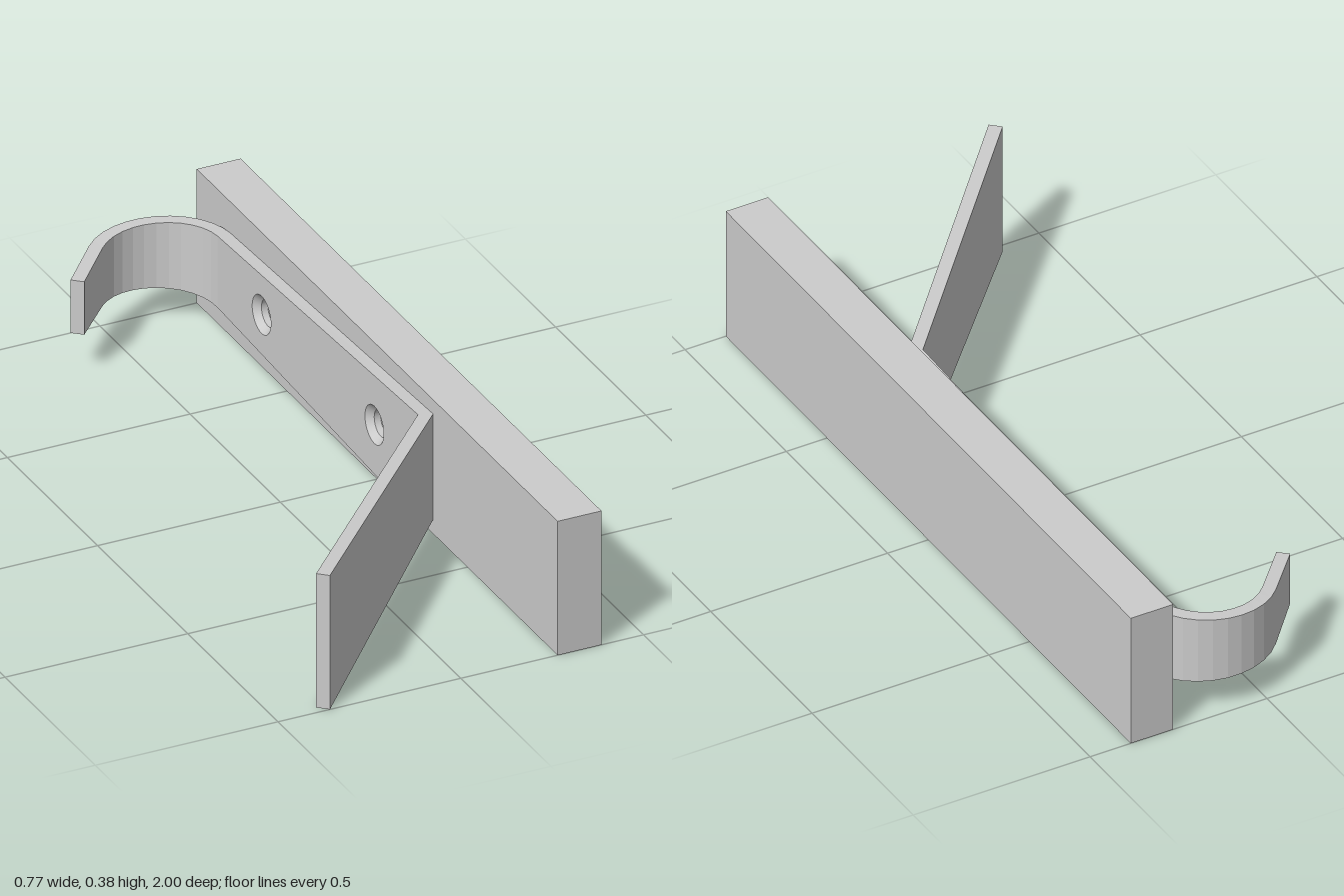
import * as THREE from 'three';

const T = 0.035;              // strap thickness
const MID = 0.1875;           // height of the centre line
const XO = 0.265, XI = XO - T; // strap faces along the board
const grey = new THREE.MeshStandardMaterial({ color: 0xcccccc, flatShading: true });
const open = new THREE.MeshStandardMaterial({ color: 0xcccccc, side: THREE.DoubleSide });

function add(group, name, geometry, material = grey) {
  const mesh = new THREE.Mesh(geometry, material);
  mesh.name = name;
  group.add(mesh);
  return mesh;
}

// Stations along the strap in plan: inner and outer points as [x, z]
function strapStations() {
  const list = [
    { i: [-0.384, 0.976], o: [-0.358, 1.0] },
    { i: [XI, 0.297], o: [XO, 0.31] },
  ];
  const R = 0.187, cx = XO - R, cz = -1 + R, end = THREE.MathUtils.degToRad(138), steps = 12;
  const ring = (a, r) => [cx + r * Math.cos(a), cz - r * Math.sin(a)];
  for (let k = 0; k <= steps; k++) {
    const a = (end * k) / steps;
    list.push({ i: ring(a, R - T), o: ring(a, R) });
  }
  // straight tip of the hook, tangent to the curl
  const last = list[list.length - 1], len = 0.165;
  const go = ([x, z]) => [x - len * Math.sin(end), z - len * Math.cos(end)];
  list.push({ i: go(last.i), o: go(last.o) });

  // height tapers evenly with the length travelled
  let s = 0;
  list.forEach((st, n) => {
    if (n) s += Math.hypot(st.o[0] - list[n - 1].o[0], st.o[1] - list[n - 1].o[1]);
    st.half = (0.375 - 0.085 * s) / 2;
  });
  return list;
}

// Loft of four-cornered sections; the straight inner face is left out for the drilled plate
function strapGeometry(stations) {
  const pos = [];
  const quad = (a, b, c, d) => pos.push(...a, ...b, ...c, ...a, ...c, ...d);
  const sec = stations.map(({ i, o, half }) => [
    [i[0], MID - half, i[1]], [o[0], MID - half, o[1]],
    [o[0], MID + half, o[1]], [i[0], MID + half, i[1]],
  ]);
  for (let n = 0; n < sec.length - 1; n++) {
    for (let j = 0; j < 4; j++) {
      if (n === 1 && j === 3) continue;
      const k = (j + 1) % 4;
      quad(sec[n][j], sec[n + 1][j], sec[n + 1][k], sec[n][k]);
    }
  }
  quad(...sec[0]);
  quad(...sec[sec.length - 1].slice().reverse());
  const g = new THREE.BufferGeometry();
  g.setAttribute('position', new THREE.Float32BufferAttribute(pos, 3));
  g.computeVertexNormals();
  return g;
}

export function createModel() {
  const model = new THREE.Group();
  model.name = 'hookBracket';

  // Mounting board
  add(model, 'board', new THREE.BoxGeometry(0.12, 0.375, 2)).position.set(0.325, MID, 0);

  // Bent strap: flared arm, straight part and curled hook
  const stations = strapStations();
  add(model, 'strap', strapGeometry(stations));

  // Drilled face of the straight part
  const [, a, b] = stations;
  const face = new THREE.Shape([
    new THREE.Vector2(b.i[1], MID - b.half), new THREE.Vector2(a.i[1], MID - a.half),
    new THREE.Vector2(a.i[1], MID + a.half), new THREE.Vector2(b.i[1], MID + b.half),
  ]);
  const holes = [0.055, -0.57], rim = 0.052, bore = 0.036;
  for (const z of holes) {
    face.holes.push(new THREE.Path().absarc(z, MID, rim, 0, Math.PI * 2, true));
  }
  add(model, 'drilledFace', new THREE.ShapeGeometry(face, 16).rotateY(-Math.PI / 2))
    .position.x = XI;

  // Countersunk screw holes
  const cone = [[rim, 0], [bore, T / 2]], tube = [[bore, T / 2], [bore, T]];
  for (const z of holes) {
    for (const [name, profile] of [['countersink', cone], ['screwHole', tube]]) {
      const points = profile.map(([r, y]) => new THREE.Vector2(r, y));
      const wall = add(model, name, new THREE.LatheGeometry(points, 32), open);
      wall.rotation.z = -Math.PI / 2;
      wall.position.set(XI, MID, z);
    }
  }
  return model;
}
